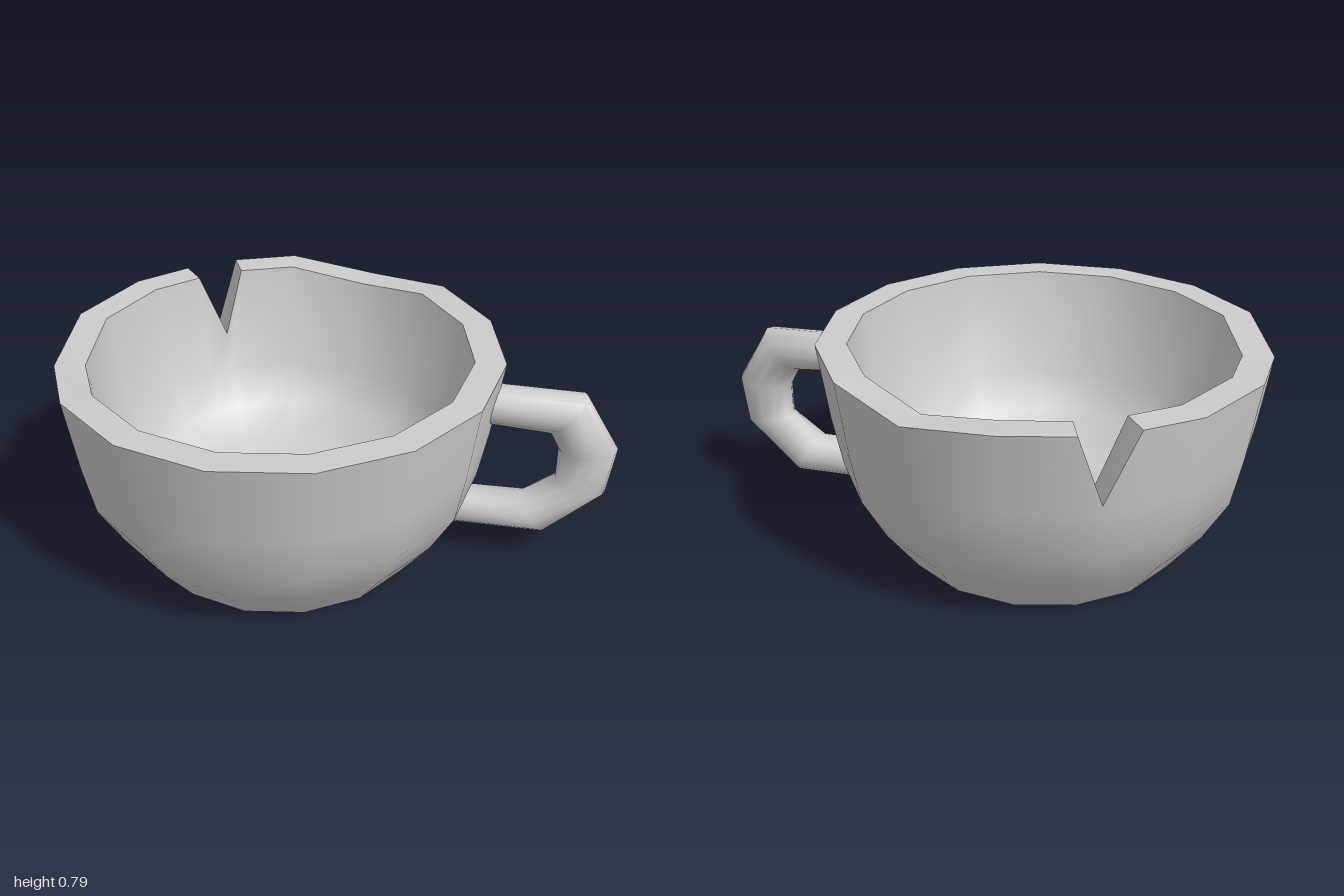
import * as THREE from 'three';
import { toCreasedNormals } from 'three/addons/utils/BufferGeometryUtils.js';

const SIDES = 15, CX = -0.22, TOP = 0.785;

// Skin a list of equal-length point rows, skipping collapsed triangles
function loft(rows, crease) {
  const pos = [], area = new THREE.Triangle();
  const tri = (a, b, c) => {
    if (area.set(a, b, c).getArea() > 1e-7) for (const p of [a, b, c]) pos.push(p.x, p.y, p.z);
  };
  for (let i = 0; i < rows.length - 1; i++) {
    for (let j = 0; j < rows[i].length - 1; j++) {
      const a = rows[i][j], b = rows[i][j + 1], c = rows[i + 1][j + 1], d = rows[i + 1][j];
      tri(a, b, c);
      tri(a, c, d);
    }
  }
  const g = new THREE.BufferGeometry();
  g.setAttribute('position', new THREE.Float32BufferAttribute(pos, 3));
  return toCreasedNormals(g, crease);
}

// Point on a faceted ring; t counts polygon corners, fractions lie on an edge
function ringPoint(t, r, y) {
  const k = Math.floor(t);
  const corner = (n) => {
    const a = (n * 2 * Math.PI) / SIDES;
    return new THREE.Vector3(CX + r * Math.cos(a), y, -r * Math.sin(a));
  };
  return corner(k).lerp(corner(k + 1), t - k);
}

// Faceted bowl with thick wall, two low rim corners and a V-shaped chip
function bowlGeometry() {
  const columns = [0, 1, 2, 3, 4, 4.72, 5, 5.34];
  for (let k = 6; k <= SIDES; k++) columns.push(k);
  const rimHeight = (t) => (t === 5 ? 0.53 : t === 3 || t === 8 ? 0.747 : TOP);

  // [radius, height] up the outside, over the rim and down the inside
  const profile = [
    [0, 0], [0.51, 0], [0.632, 0.16], [0.722, 0.32], [0.758, 0.5], [0.8, TOP],
    [0.69, TOP], [0.63, 0.385], [0.54, 0.25], [0.4, 0.16], [0, 0.14],
  ];
  const rows = profile.map(([r, y], i) => columns.map((t) => {
    if (y < TOP) return ringPoint(t, r, y);
    // rim points slide down along the wall below them
    const [r0, y0] = profile[i === 5 ? 4 : 7];
    const h = rimHeight(t);
    return ringPoint(t, r0 + ((r - r0) * (h - y0)) / (TOP - y0), h);
  }));
  return loft(rows, 0.62);
}

// Angular loop handle from elliptical sections
function handleGeometry() {
  // outer x, outer y, inner x, inner y, half width
  const sections = [
    [0.53, 0.697, 0.53, 0.555, 0.08], [0.87, 0.682, 0.745, 0.535, 0.085],
    [0.995, 0.475, 0.785, 0.46, 0.072], [0.97, 0.295, 0.785, 0.34, 0.072],
    [0.76, 0.11, 0.67, 0.255, 0.085], [0.37, 0.122, 0.37, 0.262, 0.08],
  ];
  const n = 12;
  const row = ([ox, oy, ix, iy, w], scale = 1) => Array.from({ length: n + 1 }, (_, j) => {
    const a = ((j % n) * 2 * Math.PI) / n, c = (Math.cos(a) * scale) / 2;
    return new THREE.Vector3(
      (ox + ix) / 2 + (ox - ix) * c, (oy + iy) / 2 + (oy - iy) * c, w * Math.sin(a) * scale);
  });
  const rows = sections.map((s) => row(s));
  // closed ends
  rows.unshift(row(sections[0], 0));
  rows.push(row(sections[sections.length - 1], 0));
  return loft(rows, 1.0);
}

export function createModel() {
  const group = new THREE.Group();
  group.name = 'chippedCup';
  const material = new THREE.MeshStandardMaterial({ color: 0xcccccc });
  const add = (name, geometry) => {
    const mesh = new THREE.Mesh(geometry, material);
    mesh.name = name;
    group.add(mesh);
  };
  add('bowl', bowlGeometry());
  add('handle', handleGeometry());
  return group;
}
